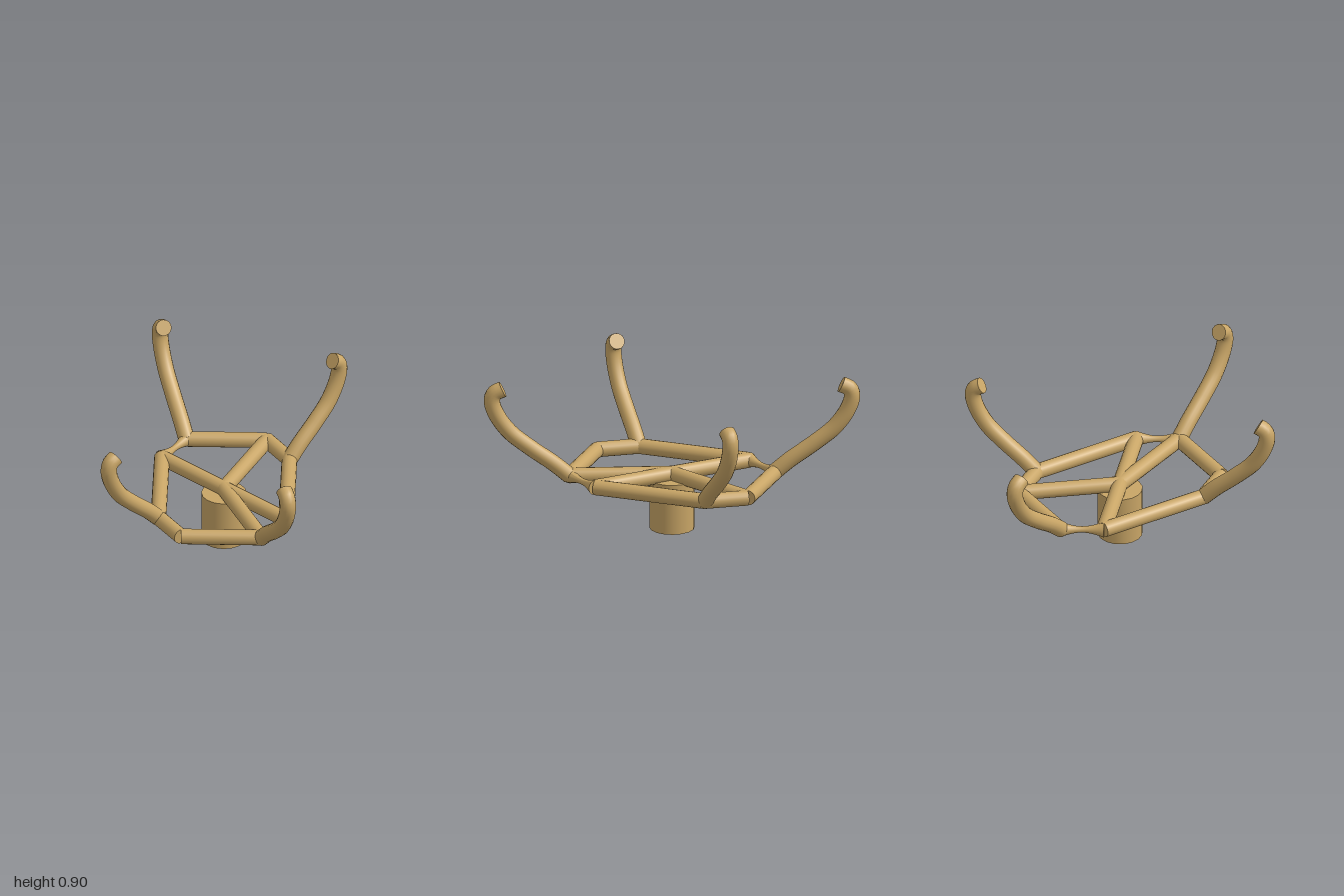
import * as THREE from 'three';

const material = new THREE.MeshStandardMaterial({ color: 0xc8a566, side: THREE.DoubleSide });
const R = 0.045;   // beam radius
const Y = 0.326;   // height of the frame's centre line
const UP = new THREE.Vector3(0, 1, 0);

// Round beam between two plan points; pinch narrows its middle
function beam(name, [x1, z1], [x2, z2], pinch = 0) {
  const a = new THREE.Vector3(x1, Y, z1), b = new THREE.Vector3(x2, Y, z2);
  const length = a.distanceTo(b);
  const geo = new THREE.CylinderGeometry(R, R, length, 16, pinch ? 10 : 1);
  if (pinch) {
    const p = geo.attributes.position;
    for (let i = 0; i < p.count; i++) {
      const s = 1 - pinch * Math.cos((p.getY(i) / length) * Math.PI);
      p.setX(i, p.getX(i) * s);
      p.setZ(i, p.getZ(i) * s);
    }
    geo.computeVertexNormals();
  }
  const mesh = new THREE.Mesh(geo, material);
  mesh.name = name;
  mesh.position.addVectors(a, b).multiplyScalar(0.5);
  mesh.quaternion.setFromUnitVectors(UP, b.sub(a).normalize());
  return mesh;
}

// Arm sweeping outward and up, its tip curling back in
const ARM_PROFILE = [[0, 0.325], [0.2, 0.4], [0.51, 0.5], [0.78, 0.6], [0.95, 0.71],
  [1, 0.79], [0.965, 0.832], [0.86, 0.855]];

function arm(name, [x1, z1], [x2, z2]) {
  const group = new THREE.Group();
  group.name = name;
  const curve = new THREE.CatmullRomCurve3(ARM_PROFILE.map(([t, y]) =>
    new THREE.Vector3(x1 + (x2 - x1) * t, y, z1 + (z2 - z1) * t)));
  const radius = 0.047;
  group.add(new THREE.Mesh(new THREE.TubeGeometry(curve, 48, radius, 16), material));
  // Flat caps on both ends
  for (const t of [0, 1]) {
    const cap = new THREE.Mesh(new THREE.CircleGeometry(radius, 16), material);
    const dir = curve.getTangentAt(t).multiplyScalar(t ? 1 : -1);
    cap.position.copy(curve.getPointAt(t));
    cap.quaternion.setFromUnitVectors(new THREE.Vector3(0, 0, 1), dir);
    group.add(cap);
  }
  return group;
}

export function createModel() {
  const model = new THREE.Group();
  model.name = 'fourArmedFrame';

  // Central post
  const hub = new THREE.Mesh(new THREE.CylinderGeometry(0.13, 0.13, 0.3, 16), material);
  hub.name = 'hub';
  hub.position.y = 0.15;
  model.add(hub);

  // Eight-cornered ring; two opposite corner beams are pinched
  const corners = [[0.23, 0.54], [0.365, 0.335], [0.365, -0.335], [0.23, -0.545],
    [-0.23, -0.545], [-0.365, -0.335], [-0.365, 0.335], [-0.23, 0.54]];
  corners.forEach((c, i) => {
    model.add(beam('ringBeam', c, corners[(i + 1) % 8], i % 4 === 0 ? 0.6 : 0));
  });

  // Spokes from the post to four corners
  for (const i of [0, 1, 3, 5]) model.add(beam('spoke', [0, 0], corners[i]));

  // Arms, in two pairs turned half round from each other
  for (const s of [1, -1]) {
    model.add(arm('longArm', [0.23 * s, 0.54 * s], [0.395 * s, 0.953 * s]));
    model.add(arm('shortArm', [0.365 * s, -0.335 * s], [0.642 * s, -0.592 * s]));
  }
  return model;
}
